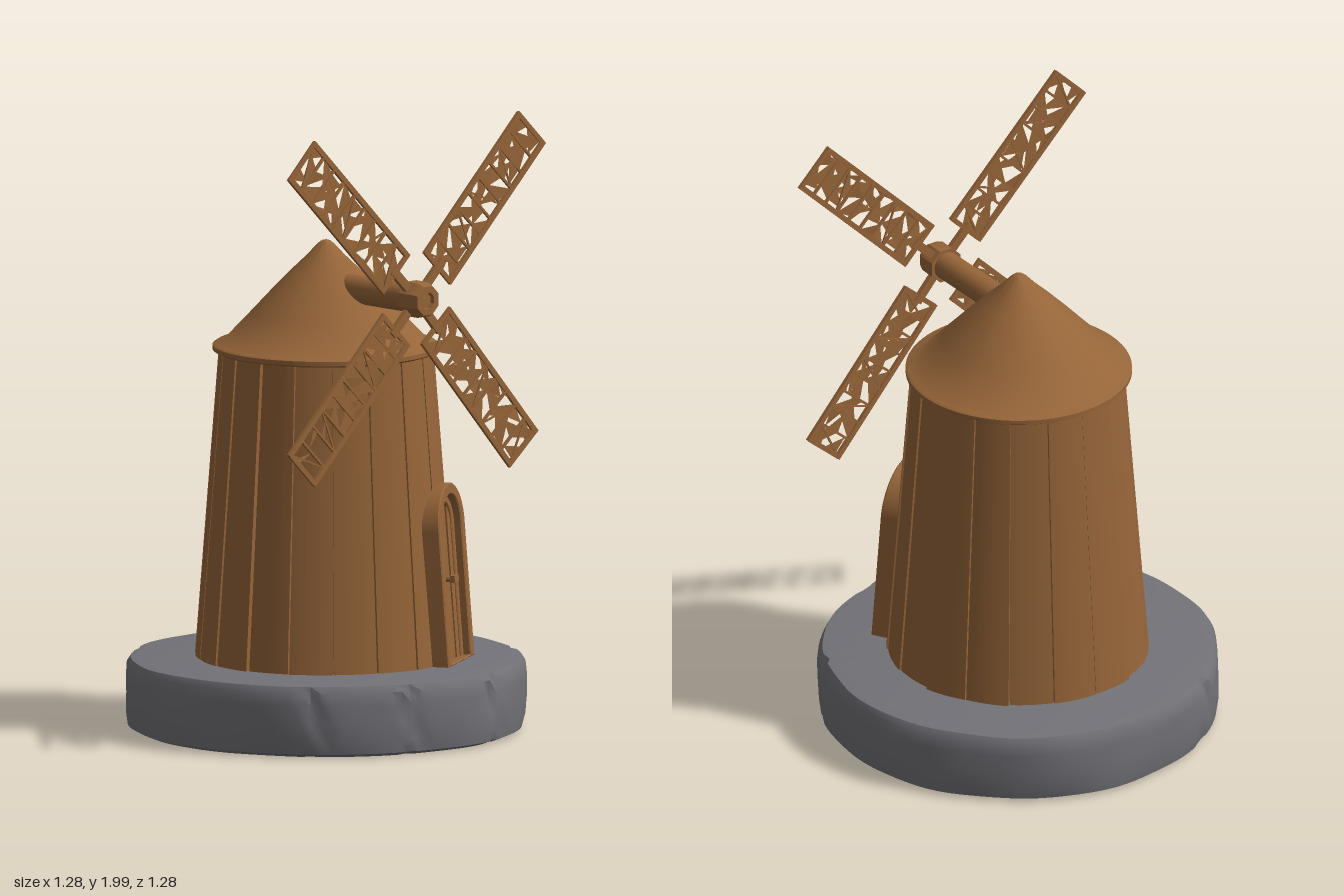
import * as THREE from 'three';
import { toCreasedNormals } from 'three/addons/utils/BufferGeometryUtils.js';

const wood = new THREE.MeshStandardMaterial({ color: 0x966539, side: THREE.DoubleSide });
wood.name = 'wood';
const stone = new THREE.MeshStandardMaterial({ color: 0x737278 });
stone.name = 'stone';

// Small seeded random numbers
let seed = 7;
const rand = () => (seed = (seed * 16807) % 2147483647) / 2147483647;

function add(parent, name, geometry, material = wood, x = 0, y = 0, z = 0) {
  const mesh = new THREE.Mesh(geometry, material);
  mesh.name = name;
  mesh.position.set(x, y, z);
  parent.add(mesh);
  return mesh;
}

function moveVertices(geometry, rule) {
  const p = geometry.attributes.position;
  const v = new THREE.Vector3();
  for (let i = 0; i < p.count; i++) {
    rule(v.fromBufferAttribute(p, i));
    p.setXYZ(i, v.x, v.y, v.z);
  }
  geometry.computeVertexNormals();
  return geometry;
}

const lathe = (points, segments) =>
  new THREE.LatheGeometry(points.map(([x, y]) => new THREE.Vector2(x, y)), segments);

// Round stone foundation with worn edges and a few vertical cracks
function stoneBase() {
  const cracks = [-2.55, -0.8, -0.3, 0.25, 1.05];
  const geometry = lathe([[0, 0.004], [0.6, 0], [0.63, 0.012], [0.638, 0.05], [0.64, 0.11],
    [0.64, 0.17], [0.637, 0.21], [0.625, 0.23], [0.59, 0.235], [0, 0.235]], 120);
  moveVertices(geometry, (v) => {
    const r = Math.hypot(v.x, v.z);
    if (r < 0.5) return;
    const a = Math.atan2(v.x, v.z);
    let dent = 0.003 * Math.sin(a * 7 + v.y * 9) + 0.002 * Math.sin(a * 13 - v.y * 25);
    for (const c of cracks) {
      const d = a - c - 0.05 * Math.sin(v.y * 30 + c);
      dent -= 0.014 * Math.exp(-d * d * 1500);
    }
    v.x *= 1 + dent / r;
    v.z *= 1 + dent / r;
  });
  return toCreasedNormals(geometry, 0.7);
}

// One curved board of the tower wall
function plank(angle, width, offset, skew) {
  return moveVertices(new THREE.BoxGeometry(1, 1, 1, 6, 4, 1), (v) => {
    const t = v.y + 0.5;
    const a = angle + v.x * width;
    const r = 0.42 - 0.078 * t + offset + v.x * skew + v.z * 0.03 - 0.015;
    v.set(r * Math.sin(a), 0.225 + t * 1.01, r * Math.cos(a));
  });
}

// Arch outline standing on y = 0
function archPath(target, halfWidth, height) {
  target.moveTo(-halfWidth, 0);
  target.lineTo(halfWidth, 0);
  target.lineTo(halfWidth, height - halfWidth);
  target.absarc(0, height - halfWidth, halfWidth, 0, Math.PI, false);
  target.lineTo(-halfWidth, 0);
  return target;
}

function arch(halfWidth, height, band, depth) {
  const shape = archPath(new THREE.Shape(), halfWidth, height);
  shape.holes.push(archPath(new THREE.Path(), halfWidth - band, height - band));
  const geometry = new THREE.ExtrudeGeometry(shape,
    { depth, bevelEnabled: true, bevelSize: 0.004, bevelThickness: 0.004, bevelSegments: 1, curveSegments: 16 });
  return toCreasedNormals(geometry, 0.6);
}

function door() {
  const group = new THREE.Group();
  group.name = 'door';
  add(group, 'doorFrame', arch(0.138, 0.57, 0.03, 0.075), wood, 0, 0, -0.045);
  add(group, 'innerFrame', arch(0.106, 0.535, 0.02, 0.05), wood, 0, 0, -0.045);
  // Boards follow the curve of the arch
  for (let i = 0; i < 4; i++) {
    const x = -0.069 + i * 0.046;
    const top = 0.44 + Math.sqrt(0.095 ** 2 - x * x) - 0.015;
    add(group, 'doorBoard', new THREE.BoxGeometry(0.04, top, 0.02), wood, x, top / 2, -0.015 + (i % 2) * 0.008);
  }
  const backing = new THREE.ShapeGeometry(archPath(new THREE.Shape(), 0.12, 0.55));
  add(group, 'doorBacking', backing, wood, 0, 0, -0.025);
  const handle = add(group, 'doorHandle', new THREE.CylinderGeometry(0.01, 0.01, 0.05, 10), wood, -0.075, 0.275, 0.025);
  handle.rotation.x = Math.PI / 2;
  add(group, 'handleKnob', new THREE.BoxGeometry(0.045, 0.022, 0.016), wood, -0.068, 0.275, 0.05);
  return group;
}

// Torn covering: jagged triangles hung between the rungs
function tornSail(x0, step, cells, half, fullCells) {
  const points = [];
  for (let i = 0; i < cells; i++) {
    const a = x0 + i * step;
    const count = i < fullCells ? 4 : 1;
    for (let k = 0; k < count; k++) {
      const size = i < fullCells ? 0.05 + rand() * 0.05 : 0.02;
      const y = -half + (k + rand() * 0.7) * (2 * half / count);
      const y2 = Math.min(half, y + size);
      const fromLeft = (i + k) % 2;
      const z = (rand() - 0.5) * 0.012;
      points.push(a + (fromLeft ? 0 : step), y, 0, a + (fromLeft ? 0 : step), y2, z,
        a + (fromLeft ? step : 0), THREE.MathUtils.clamp(y + (rand() - 0.4) * 0.1, -half, half), 0);
    }
  }
  const geometry = new THREE.BufferGeometry();
  geometry.setAttribute('position', new THREE.Float32BufferAttribute(points, 3));
  geometry.computeVertexNormals();
  return geometry;
}

// Lattice blade running outwards along +x
function blade(fullCells) {
  const group = new THREE.Group();
  group.name = 'blade';
  const inner = 0.125, outer = 0.71, half = 0.073, cells = 9;
  const length = outer - inner, step = (length - 0.014) / cells;
  for (const s of [-1, 1]) {
    add(group, 'bladeRail', new THREE.BoxGeometry(length, 0.017, 0.012), wood, (inner + outer) / 2, s * half, 0);
  }
  for (let i = 0; i <= cells; i++) {
    const end = i === 0 || i === cells;
    add(group, 'bladeRung', new THREE.BoxGeometry(end ? 0.016 : 0.008, half * 2, 0.009), wood, inner + 0.007 + i * step, 0, 0);
  }
  for (let i = 0; i < cells; i += 2) {
    const brace = add(group, 'bladeBrace', new THREE.BoxGeometry(Math.hypot(step, half * 2), 0.006, 0.005), wood,
      inner + 0.007 + (i + 0.5) * step, 0, 0);
    brace.rotation.z = Math.atan2(half * 2, step) * (i % 4 ? 1 : -1);
  }
  add(group, 'tornSail', tornSail(inner + 0.007, step, cells, half, fullCells));
  add(group, 'bladeSpar', new THREE.BoxGeometry(0.13, 0.028, 0.016), wood, 0.085, 0, 0);
  return group;
}

export function createModel() {
  const model = new THREE.Group();
  model.name = 'windmill';
  add(model, 'stoneBase', stoneBase(), stone);

  // Tower: slim core with boards around it
  add(model, 'towerCore', new THREE.CylinderGeometry(0.325, 0.395, 1.0, 48), wood, 0, 0.73, 0);
  const boards = 18;
  for (let i = 0; i < boards; i++) {
    const angle = ((i + 0.5) / boards) * Math.PI * 2;
    const width = (Math.PI * 2 / boards) * (0.95 + rand() * 0.035);
    add(model, 'towerPlank', plank(angle, width, (rand() - 0.5) * 0.01, (rand() - 0.5) * 0.02));
  }

  // Conical roof with a thick rim
  const roof = lathe([[0, 1.222], [0.352, 1.22], [0.362, 1.226], [0.362, 1.24], [0.352, 1.247], [0.33, 1.25],
    [0.24, 1.345], [0.175, 1.415], [0.11, 1.482], [0.06, 1.53], [0.028, 1.565], [0.014, 1.576], [0, 1.58]], 64);
  add(model, 'roof', toCreasedNormals(roof, 0.75));

  // Door leaning with the wall, left of the front
  const entrance = door();
  entrance.rotation.order = 'YXZ';
  entrance.rotation.set(-0.075, 0.52, 0);
  entrance.position.set(0.42 * Math.sin(0.52), 0.235, 0.42 * Math.cos(0.52));
  model.add(entrance);

  // Axle, hub and blades
  const axle = add(model, 'axle', new THREE.CylinderGeometry(0.046, 0.046, 0.36, 20), wood, 0, 1.435, 0.28);
  axle.rotation.x = Math.PI / 2;
  const rotor = new THREE.Group();
  rotor.name = 'rotor';
  rotor.position.set(0, 1.435, 0.42);
  model.add(rotor);
  const hub = lathe([[0, -0.025], [0.06, -0.025], [0.06, 0.03], [0.05, 0.055], [0.028, 0.055], [0.026, 0.035], [0, 0.035]], 8);
  const hubMesh = add(rotor, 'hub', toCreasedNormals(hub, 0.4));
  hubMesh.rotation.set(Math.PI / 2, Math.PI / 8, 0);
  [[45, 9], [135, 9], [225, 6], [311, 9]].forEach(([degrees, fullCells]) => {
    const sail = blade(fullCells);
    sail.rotation.z = THREE.MathUtils.degToRad(degrees);
    rotor.add(sail);
  });
  rotor.rotation.y = -0.012;
  return model;
}
